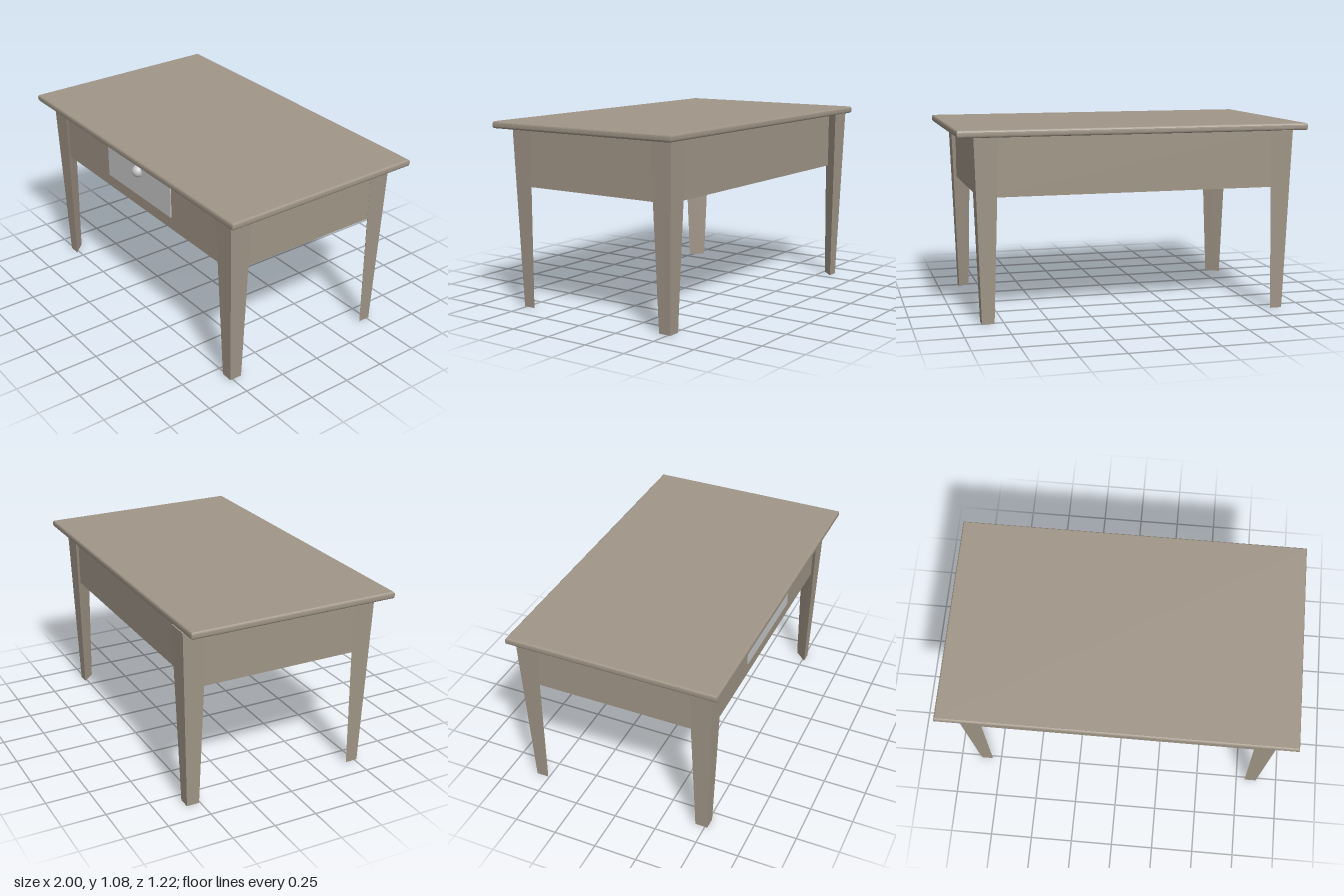
import * as THREE from 'three';
import { ConvexGeometry } from 'three/addons/geometries/ConvexGeometry.js';

export function createModel() {
  const table = new THREE.Group();
  table.name = 'table';
  const wood = new THREE.MeshStandardMaterial({ color: 0xa09587 });
  wood.name = 'wood';
  const lightGrey = new THREE.MeshStandardMaterial({ color: 0xc8c8c8 });
  lightGrey.name = 'lightGrey';

  const add = (name, geometry, material, x = 0, y = 0, z = 0) => {
    const mesh = new THREE.Mesh(geometry, material);
    mesh.name = name;
    mesh.position.set(x, y, z);
    table.add(mesh);
    return mesh;
  };

  // Tabletop: a thin slab with a rounded rim
  const w = 1, d = 0.607, thick = 0.04, bevel = 0.015;
  const outline = new THREE.Shape([
    new THREE.Vector2(-w, -d), new THREE.Vector2(w, -d),
    new THREE.Vector2(w, d), new THREE.Vector2(-w, d),
  ]);
  const slab = new THREE.ExtrudeGeometry(outline, {
    depth: thick - 2 * bevel, bevelThickness: bevel, bevelSize: 0.01,
    bevelOffset: -0.01, bevelSegments: 4,
  });
  slab.rotateX(-Math.PI / 2);
  add('tabletop', slab, wood, 0, 1.035 + bevel, 0);

  // Apron: closed box between the legs
  add('apron', new THREE.BoxGeometry(1.75, 0.335, 1.03), wood, 0, 0.8695, 0);

  // Legs: tapered triangular posts, the diagonal face turned inwards
  const leg = (sx, sz, shift) => {
    const section = (y, x, z, sideX, sideZ) => [
      new THREE.Vector3(sx * x, y, sz * z + shift),
      new THREE.Vector3(sx * (x - sideX), y, sz * z + shift),
      new THREE.Vector3(sx * x, y, sz * (z - sideZ) + shift),
    ];
    return new ConvexGeometry([
      ...section(1.037, 0.905, 0.545, 0.135, 0.133),
      ...section(0, 0.873, 0.515, 0.07, 0.073),
    ]);
  };
  for (const sx of [1, -1]) {
    for (const sz of [1, -1]) {
      const shift = sx < 0 && sz < 0 ? -0.065 : 0; // this leg stands further out
      add((sz > 0 ? 'front' : 'back') + (sx > 0 ? 'Left' : 'Right') + 'Leg', leg(sx, sz, shift), wood);
    }
  }

  // Drawer front and its round knob
  add('drawerFront', new THREE.BoxGeometry(0.645, 0.262, 0.008), lightGrey, 0, 0.906, 0.516);
  add('drawerKnob', new THREE.SphereGeometry(0.036, 24, 16), lightGrey, 0, 0.932, 0.52);

  return table;
}
